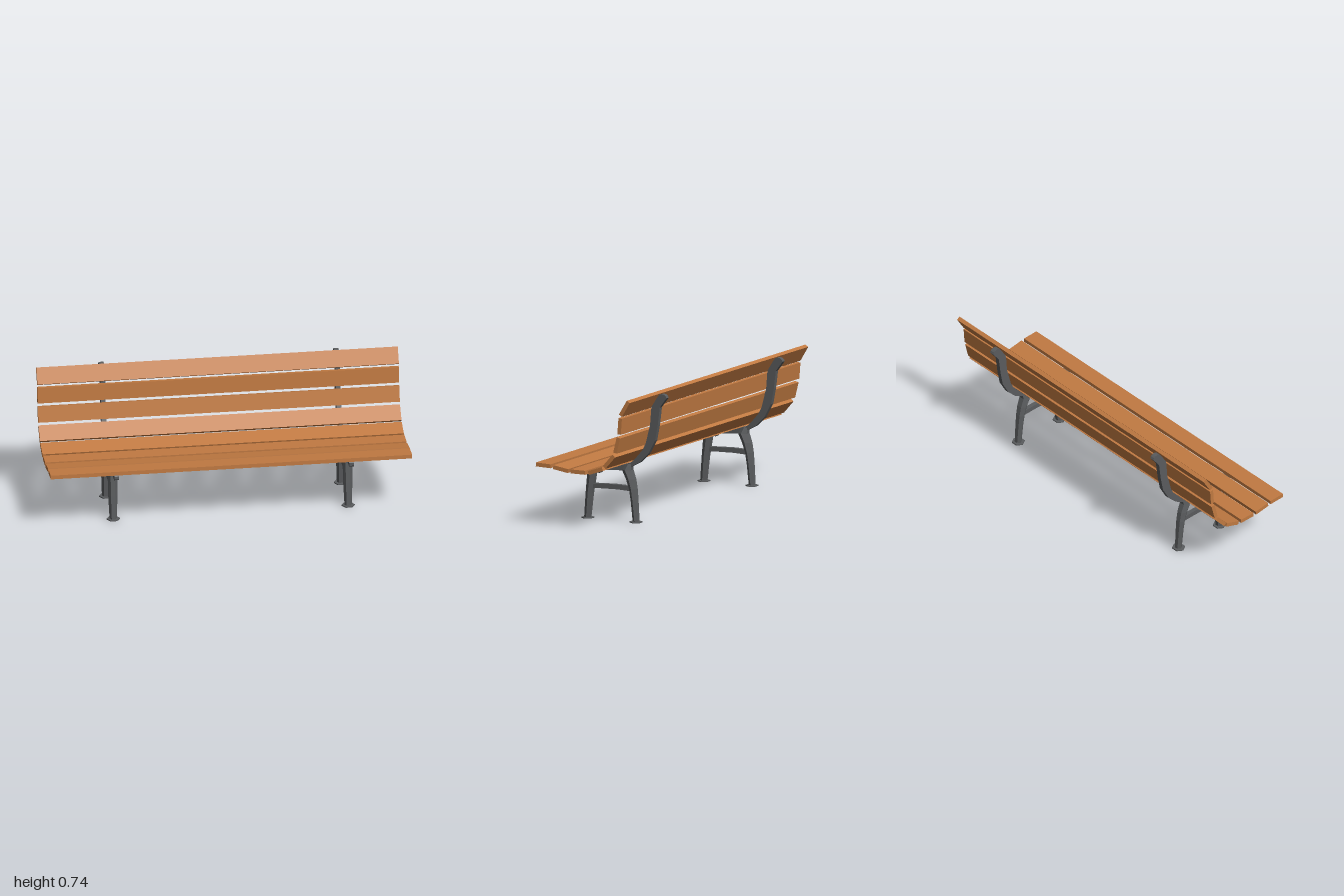
import * as THREE from 'three';

const wood = new THREE.MeshStandardMaterial({ color: 0xc17a42, flatShading: true });
const iron = new THREE.MeshStandardMaterial({ color: 0x5a5c5e, flatShading: true });

function add(parent, name, geometry, material) {
  const mesh = new THREE.Mesh(geometry, material);
  mesh.name = name;
  parent.add(mesh);
  return mesh;
}

// Flat side profile of [z, y] points, extruded across x and centred on x = 0.
function profile(points, width) {
  const shape = new THREE.Shape(points.map(([z, y]) => new THREE.Vector2(z, y)));
  return new THREE.ExtrudeGeometry(shape, { depth: width, bevelEnabled: false })
    .translate(0, 0, -width / 2).rotateY(-Math.PI / 2);
}

// Six-sided column with ridges on its sides; each ring is [y, front z, back z, half width in x].
function hexColumn(rings) {
  const n = rings.length - 1;
  const g = new THREE.CylinderGeometry(1, 1, 1, 6, n).rotateY(Math.PI / 2);
  const p = g.attributes.position;
  for (let i = 0; i < p.count; i++) {
    const [y, front, back, half] = rings[Math.round((0.5 - p.getY(i)) * n)];
    const z = (front + back) / 2 + p.getZ(i) / 0.866 * (front - back) / 2;
    p.setXYZ(i, p.getX(i) * half, y, z);
  }
  g.computeVertexNormals();
  return g;
}

function makeFrame() {
  const frame = new THREE.Group();

  // Curved rail carrying seat and backrest
  add(frame, 'curvedRail', profile([
    [0.315, 0.326], [0.228, 0.323], [0.2, 0.319], [0.12, 0.307], [0.01, 0.307],
    [-0.06, 0.32], [-0.1, 0.336], [-0.13, 0.365], [-0.175, 0.42], [-0.19, 0.45],
    [-0.211, 0.53], [-0.217, 0.55], [-0.224, 0.64], [-0.228, 0.657], [-0.265, 0.715],
    [-0.275, 0.727], [-0.29, 0.731], [-0.305, 0.728], [-0.315, 0.721], [-0.32, 0.71],
    [-0.278, 0.655], [-0.265, 0.555], [-0.248, 0.468], [-0.206, 0.392], [-0.153, 0.339],
    [-0.095, 0.308], [-0.04, 0.285], [0.095, 0.276], [0.2, 0.293], [0.315, 0.296],
    [0.321, 0.303], [0.321, 0.319],
  ], 0.026), iron);

  // Front leg and the tilted plate it meets under the rail
  add(frame, 'frontLeg', hexColumn([
    [0.272, 0.176, 0.126, 0.027], [0.14, 0.188, 0.149, 0.026], [0.004, 0.199, 0.164, 0.02],
  ]), iron);
  const plate = add(frame, 'mountingPlate', hexColumn([
    [0.008, 0.056, -0.056, 0.037], [-0.005, 0.052, -0.056, 0.037], [-0.011, 0.03, -0.052, 0.03],
  ]), iron);
  plate.position.set(0, 0.276, 0.15);
  plate.rotation.x = -0.125;

  // Rear leg, curving up into the rail
  add(frame, 'rearLeg', hexColumn([
    [0.325, -0.064, -0.1, 0.02], [0.29, -0.042, -0.097, 0.033], [0.24, -0.066, -0.115, 0.03],
    [0.185, -0.085, -0.125, 0.028], [0.12, -0.095, -0.131, 0.025], [0.004, -0.106, -0.139, 0.02],
  ]), iron);

  // Stretcher between the legs
  add(frame, 'stretcher', profile([
    [0.155, 0.196], [0.08, 0.2], [-0.01, 0.203], [-0.1, 0.2],
    [-0.1, 0.173], [-0.01, 0.176], [0.08, 0.174], [0.155, 0.17],
  ], 0.024), iron);

  // Foot pads
  for (const [name, front, back] of [['frontFoot', 0.211, 0.151], ['rearFoot', -0.09, -0.152]]) {
    add(frame, name, hexColumn([[0.006, front, back, 0.037], [0, front, back, 0.037]]), iron);
  }
  return frame;
}

export function createModel() {
  const bench = new THREE.Group();
  bench.name = 'bench';

  // Slats: front and rear edge of each sitting face as [z, y, z, y]
  const thickness = 0.022;
  [
    [0.32, 0.348, 0.228, 0.345], [0.209, 0.342, 0.118, 0.328],
    [0.101, 0.328, 0.01, 0.328], [-0.006, 0.328, -0.094, 0.358],
    [-0.101, 0.365, -0.161, 0.433], [-0.166, 0.446, -0.188, 0.533],
    [-0.192, 0.55, -0.199, 0.64], [-0.202, 0.66, -0.251, 0.741],
  ].forEach(([z1, y1, z2, y2], i) => {
    const angle = Math.atan2(y2 - y1, z1 - z2);
    const g = new THREE.BoxGeometry(2, thickness, Math.hypot(z1 - z2, y1 - y2))
      .translate(0, -thickness / 2, 0);
    const slat = add(bench, (i < 4 ? 'seatSlat' : 'backSlat') + (i % 4 + 1), g, wood);
    slat.position.set(0, (y1 + y2) / 2, (z1 + z2) / 2);
    slat.rotation.x = angle;
  });

  // Two cast frames
  for (const [name, x] of [['rightFrame', -0.635], ['leftFrame', 0.665]]) {
    const frame = makeFrame();
    frame.name = name;
    frame.position.x = x;
    bench.add(frame);
  }
  return bench;
}
